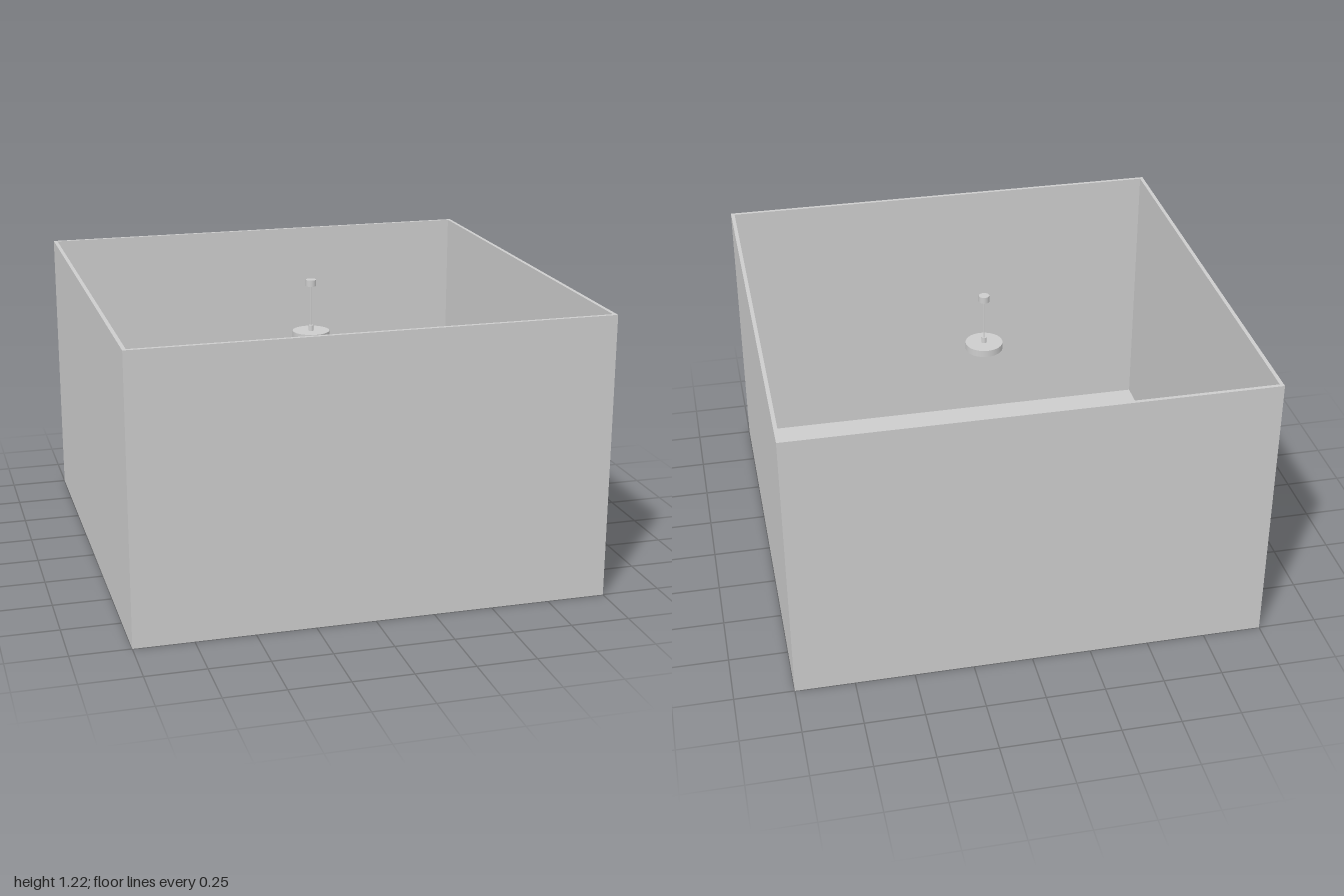
import * as THREE from 'three';

const grey = new THREE.MeshStandardMaterial({ color: 0xcccccc });
grey.name = 'plain grey';

function add(parent, name, geometry, x = 0, y = 0, z = 0) {
  const mesh = new THREE.Mesh(geometry, grey);
  mesh.name = name;
  mesh.position.set(x, y, z);
  parent.add(mesh);
  return mesh;
}

// Round bar between two points, optionally tapered
function bar(parent, name, a, b, rA, rB = rA) {
  const from = new THREE.Vector3(...a), to = new THREE.Vector3(...b);
  const dir = to.clone().sub(from);
  const mesh = add(parent, name, new THREE.CylinderGeometry(rB, rA, dir.length(), 12));
  mesh.position.copy(from).add(to).multiplyScalar(0.5);
  mesh.quaternion.setFromUnitVectors(new THREE.Vector3(0, 1, 0), dir.normalize());
  return mesh;
}

// Rounded outline, back width wB at -z and front width wF at +z
function roundedOutline(wF, wB, depth, r) {
  const f = wF / 2, b = wB / 2, d = depth / 2, s = new THREE.Shape();
  s.moveTo(-f + r, -d);
  s.lineTo(f - r, -d);
  s.quadraticCurveTo(f, -d, f, -d + r);
  s.lineTo(b, d - r);
  s.quadraticCurveTo(b, d, b - r, d);
  s.lineTo(-b + r, d);
  s.quadraticCurveTo(-b, d, -b, d - r);
  s.lineTo(-f, -d + r);
  s.quadraticCurveTo(-f, -d, -f + r, -d);
  return s;
}

// Horizontal slab with its underside at y = 0
function slab(shape, height, bevel) {
  const g = new THREE.ExtrudeGeometry(shape, {
    depth: height - 2 * bevel, bevelEnabled: bevel > 0, bevelThickness: bevel,
    bevelSize: bevel, bevelOffset: -bevel, bevelSegments: 2, curveSegments: 8,
  });
  return g.rotateX(-Math.PI / 2).translate(0, bevel, 0);
}

function makeRoom() {
  const room = new THREE.Group();
  room.name = 'room';
  add(room, 'floor', new THREE.BoxGeometry(1.97, 0.01, 1.97), 0, 0.005, 0);
  for (const s of [-1, 1]) {
    add(room, 'sideWall', new THREE.BoxGeometry(0.016, 1.215, 2), s * 0.992, 0.6075, 0);
    add(room, 'endWall', new THREE.BoxGeometry(1.968, 1.215, 0.016), 0, 0.6075, s * 0.992);
  }
  return room;
}

function makeTable() {
  const table = new THREE.Group();
  table.name = 'table';
  add(table, 'tableTop', slab(roundedOutline(0.55, 0.55, 0.545, 0.03), 0.02, 0.005), 0, 0.31, 0);
  for (const s of [-1, 1]) {
    add(table, 'apron', new THREE.BoxGeometry(0.45, 0.03, 0.012), 0, 0.295, s * 0.225);
    add(table, 'apron', new THREE.BoxGeometry(0.012, 0.03, 0.45), s * 0.225, 0.295, 0);
    for (const t of [-1, 1]) {
      add(table, 'tableLeg', new THREE.BoxGeometry(0.03, 0.3, 0.03), s * 0.23, 0.16, t * 0.23);
    }
  }
  return table;
}

// Chair facing +z
function makeChair() {
  const chair = new THREE.Group();
  chair.name = 'chair';
  add(chair, 'seat', slab(roundedOutline(0.148, 0.12, 0.155, 0.03), 0.014, 0.003), 0, 0.19, 0);
  for (const s of [-1, 1]) {
    bar(chair, 'frontLeg', [s * 0.064, 0.01, 0.06], [s * 0.058, 0.192, 0.052], 0.005, 0.007);
    bar(chair, 'backLeg', [s * 0.064, 0.01, -0.085], [s * 0.055, 0.195, -0.065], 0.005, 0.007);
    bar(chair, 'backPost', [s * 0.055, 0.19, -0.065], [s * 0.068, 0.37, -0.088], 0.007, 0.005);
    bar(chair, 'sideStretcher', [s * 0.062, 0.09, 0.057], [s * 0.06, 0.09, -0.077], 0.004);
  }
  // Curved back rails, bowed away from the seat
  for (const y of [0.285, 0.345]) {
    const z = -0.065 - (y - 0.19) * 0.128, w = 0.055 + (y - 0.19) * 0.072;
    const rail = new THREE.Shape();
    rail.moveTo(-w, -z);
    rail.quadraticCurveTo(0, -z + 0.038, w, -z);
    rail.lineTo(w, -z - 0.007);
    rail.quadraticCurveTo(0, -z + 0.031, -w, -z - 0.007);
    add(chair, 'backRail', slab(rail, 0.03, 0), 0, y - 0.015, 0);
  }
  return chair;
}

// Pendant lamp hanging over the table
function makeLamp() {
  const lamp = new THREE.Group();
  lamp.name = 'pendantLamp';
  add(lamp, 'canopy', new THREE.CylinderGeometry(0.023, 0.023, 0.028, 32), 0, 1.181, 0);
  add(lamp, 'cord', new THREE.CylinderGeometry(0.003, 0.003, 0.2, 8), 0, 1.075, 0);
  add(lamp, 'socket', new THREE.CylinderGeometry(0.01, 0.012, 0.024, 20), 0, 0.977, 0);
  add(lamp, 'shade', new THREE.CylinderGeometry(0.081, 0.081, 0.03, 48), 0, 0.95, 0);
  return lamp;
}

export function createModel() {
  const model = new THREE.Group();
  model.name = 'diningRoom';
  const lamp = makeLamp();
  lamp.position.set(-0.003, 0, 0.007);
  const rightChair = makeChair(), leftChair = makeChair();
  rightChair.position.set(-0.39, 0, 0.032);
  rightChair.rotation.y = Math.PI / 2 - 0.03;
  leftChair.position.set(0.372, 0, 0.07);
  leftChair.rotation.y = -Math.PI / 2 - 0.05;
  model.add(makeRoom(), makeTable(), lamp, rightChair, leftChair);
  return model;
}
